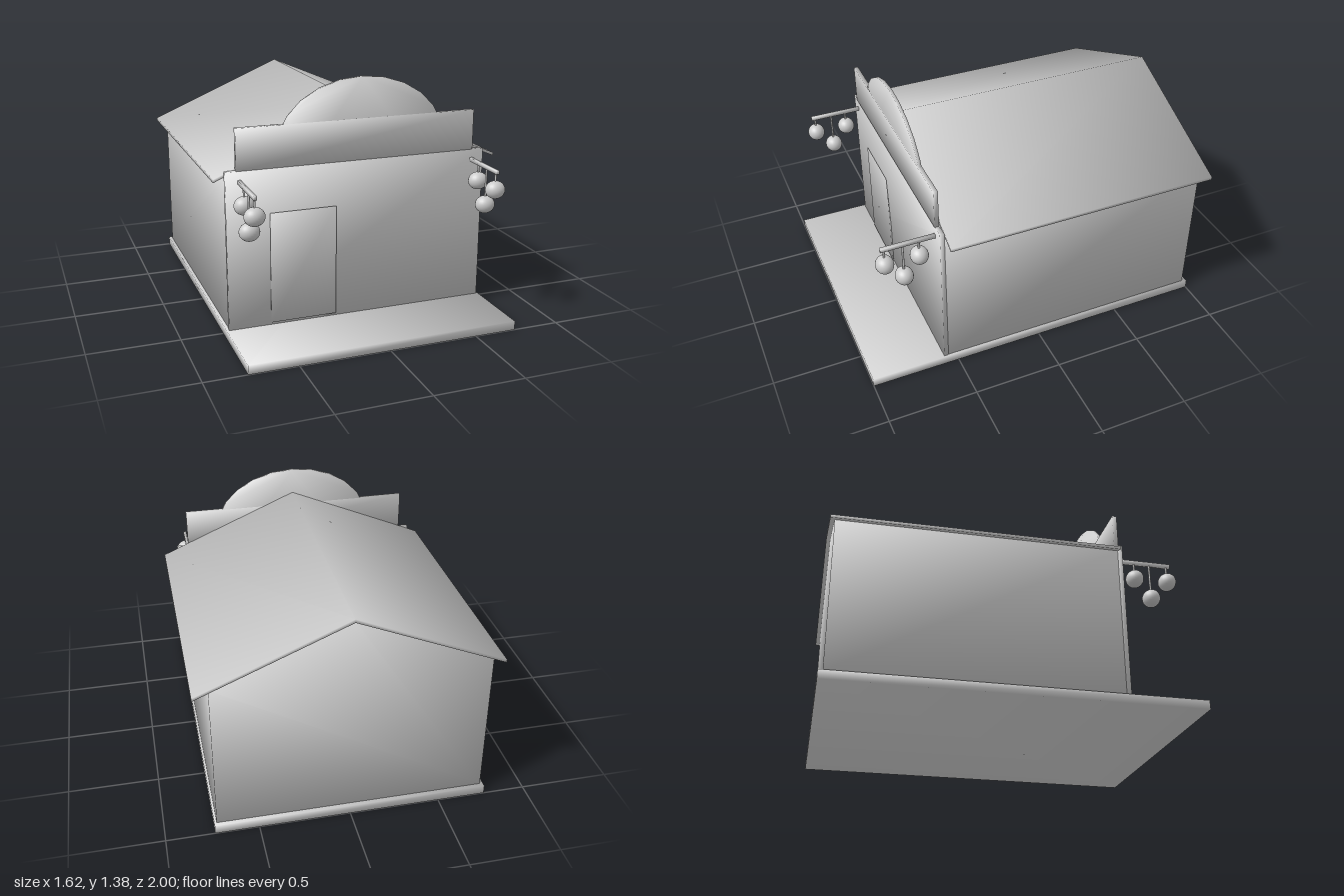
import * as THREE from 'three';
import { mergeVertices } from 'three/addons/utils/BufferGeometryUtils.js';

const material = new THREE.MeshStandardMaterial({ color: 0xcccccc });

// share corners and give them angle-weighted smooth normals
function smooth(geometry) {
  geometry.deleteAttribute('normal');
  geometry.deleteAttribute('uv');
  const merged = mergeVertices(geometry);
  const position = merged.attributes.position;
  const index = merged.index;
  const normals = Array.from({ length: position.count }, () => new THREE.Vector3());
  for (let t = 0; t < index.count; t += 3) {
    const ids = [0, 1, 2].map((k) => index.getX(t + k));
    const corners = ids.map((i) => new THREE.Vector3().fromBufferAttribute(position, i));
    const triangle = new THREE.Triangle(...corners);
    if (triangle.getArea() < 1e-9) continue;
    const normal = triangle.getNormal(new THREE.Vector3());
    ids.forEach((id, k) => {
      const a = corners[(k + 1) % 3].clone().sub(corners[k]);
      const b = corners[(k + 2) % 3].clone().sub(corners[k]);
      normals[id].addScaledVector(normal, a.angleTo(b));
    });
  }
  const flat = normals.flatMap((n) => n.normalize().toArray());
  merged.setAttribute('normal', new THREE.Float32BufferAttribute(flat, 3));
  return merged;
}

export function createModel() {
  const model = new THREE.Group();
  model.name = 'shopHouse';

  const add = (name, geometry, parent = model) => {
    const mesh = new THREE.Mesh(geometry, material);
    mesh.name = name;
    parent.add(mesh);
    return mesh;
  };
  // box given by its two opposite corners
  const box = (name, [x0, y0, z0], [x1, y1, z1], parent) =>
    add(name, smooth(new THREE.BoxGeometry(x1 - x0, y1 - y0, z1 - z0)), parent)
      .position.set((x0 + x1) / 2, (y0 + y1) / 2, (z0 + z1) / 2);
  // outline in x and y, extruded from z0 to z1
  const prism = (name, points, z0, z1) => {
    const shape = new THREE.Shape(points.map(([x, y]) => new THREE.Vector2(x, y)));
    const geometry = new THREE.ExtrudeGeometry(shape, { depth: z1 - z0, bevelEnabled: false });
    add(name, smooth(geometry)).position.z = z0;
  };

  // ground slab, gabled house and thin folded roof
  box('base', [-0.768, 0, -1], [0.738, 0.05, 1]);
  prism('houseBody', [[-0.75, 0.05], [0.725, 0.05], [0.725, 0.905], [0, 1.212], [-0.75, 0.895]], -0.975, 0.56);
  prism('roof', [[-0.81, 0.868], [0, 1.21], [0.81, 0.868], [0.81, 0.886], [0, 1.23], [-0.81, 0.886]], -1, 0.555);

  // shop front and sign board
  box('facade', [-0.754, 0.05, 0.557], [0.728, 0.925, 0.582]);
  box('signBoard', [-0.695, 0.925, 0.559], [0.66, 1.15, 0.584]);

  // door leaf, tapering in thickness to its top edge
  const leaf = new THREE.BoxGeometry(0.37, 0.62, 0.016);
  const corner = leaf.attributes.position;
  for (let i = 0; i < corner.count; i++) if (corner.getY(i) > 0) corner.setZ(i, 0.008);
  add('door', smooth(leaf)).position.set(-0.335, 0.375, 0.583);

  // faceted oval rising above the sign board, its lower half set into the facade
  const oval = [];
  for (let i = 0; i < 24; i++) {
    const a = (i / 12) * Math.PI;
    oval.push([0.478 * Math.cos(a), 1.005 + 0.37 * Math.sin(a)]);
  }
  prism('signArch', oval, 0.562, 0.58);

  // a bracket with three hanging lanterns on each side
  for (const [side, x] of [['right', -0.68], ['left', 0.655]]) {
    const bracket = new THREE.Group();
    bracket.name = side + 'LanternBracket';
    bracket.position.x = x;
    model.add(bracket);
    box('rod', [-0.009, 0.857, 0.56], [0.009, 0.878, 0.88], bracket);
    for (const [y, z] of [[0.768, 0.672], [0.657, 0.76], [0.768, 0.86]]) {
      const lantern = add('lantern', new THREE.SphereGeometry(0.049, 24, 16), bracket);
      lantern.scale.x = 1.12;
      lantern.position.set(0, y, z);
      const length = 0.865 - y;
      add('cord', new THREE.CylinderGeometry(0.006, 0.006, length, 8), bracket)
        .position.set(0, y + length / 2, z);
    }
  }
  return model;
}
